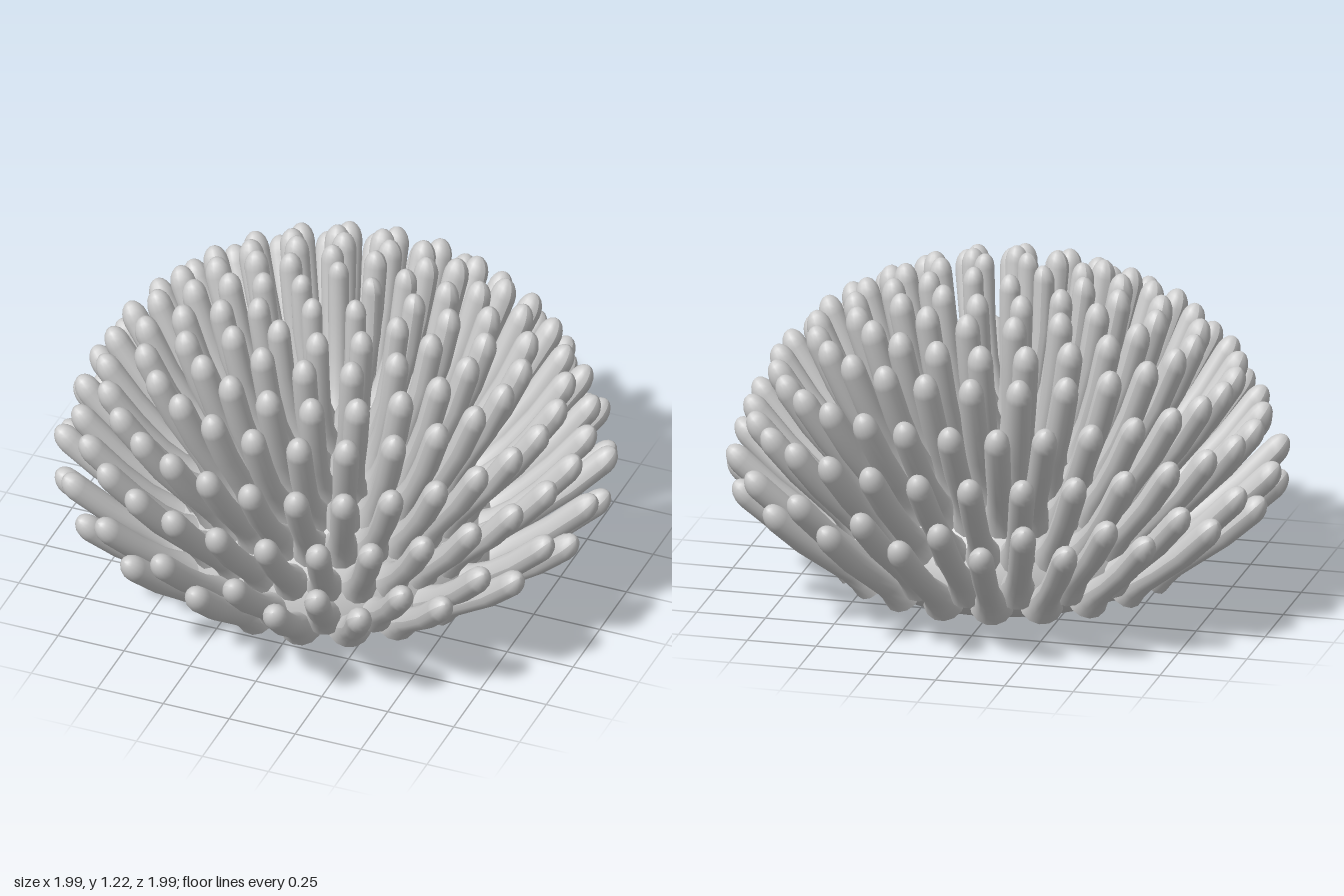
import * as THREE from 'three';
import { mergeGeometries } from 'three/addons/utils/BufferGeometryUtils.js';

const material = new THREE.MeshStandardMaterial({ color: 0xcccccc });

// Rings of tentacles: count, tip radius and height, root radius and height,
// thickness, and angular offset in steps.
const rings = [
  [5, 0.13, 1.22, 0.06, 0.64, 0.037, 0],
  [11, 0.28, 1.19, 0.16, 0.63, 0.041, 0],
  [15, 0.41, 1.155, 0.25, 0.6, 0.044, 0],
  [21, 0.55, 1.09, 0.34, 0.56, 0.046, 0],
  [25, 0.69, 1.01, 0.42, 0.51, 0.046, 0],
  [30, 0.83, 0.87, 0.49, 0.43, 0.046, 0.5],
  [30, 0.92, 0.71, 0.54, 0.31, 0.046, 0],
  [20, 0.985, 0.555, 0.56, 0.2, 0.046, 0],
  [20, 0.985, 0.475, 0.55, 0.14, 0.046, 0.5],
];

// A finger along +y: flared root, slightly swollen shaft, round tip, gentle upward bend.
function fingerGeometry(length, radius) {
  const pts = [[0, 1.75], [0.08, 1.35], [0.18, 1.05], [0.35, 0.93], [0.6, 0.98]]
    .map(([t, w]) => new THREE.Vector2(w * radius, t * length));
  const cap = radius * 1.5;
  for (let i = 0; i <= 5; i++) {
    const a = (i / 5) * Math.PI / 2;
    pts.push(new THREE.Vector2(Math.cos(a) * radius, length - cap + Math.sin(a) * cap));
  }
  const geometry = new THREE.LatheGeometry(pts, 14);
  const p = geometry.attributes.position;
  for (let i = 0; i < p.count; i++) {
    const t = p.getY(i) / length;
    p.setX(i, p.getX(i) + 0.06 * length * 4 * t * (1 - t) * 0.7);
  }
  geometry.computeVertexNormals();
  return geometry;
}

function tentacleRing([count, tipR, tipY, rootR, rootY, radius, offset]) {
  const dr = tipR - rootR, dy = tipY - rootY;
  const finger = fingerGeometry(Math.hypot(dr, dy), radius);
  finger.rotateZ(-Math.atan2(dr, dy)).translate(rootR, rootY, 0);
  const parts = [];
  for (let i = 0; i < count; i++) {
    parts.push(finger.clone().rotateY(Math.PI + ((i + offset) / count) * Math.PI * 2));
  }
  return new THREE.Mesh(mergeGeometries(parts), material);
}

export function createModel() {
  const group = new THREE.Group();

  // Rounded core: shallow bowl below, dome above
  const outline = new THREE.SplineCurve([
    [0, 0], [0.2, 0.004], [0.36, 0.03], [0.5, 0.08], [0.595, 0.15], [0.61, 0.22],
    [0.58, 0.33], [0.51, 0.45], [0.43, 0.53], [0.33, 0.59], [0.18, 0.645], [0, 0.66],
  ].map(([x, y]) => new THREE.Vector2(x, y)));
  const profile = outline.getPoints(44).map((v) => new THREE.Vector2(Math.max(v.x, 0), Math.max(v.y, 0)));
  const body = new THREE.Mesh(new THREE.LatheGeometry(profile, 80), material);
  body.name = 'body';
  group.add(body);

  // Tentacles, from the crown down to the rim
  rings.forEach((ring, i) => {
    const mesh = tentacleRing(ring);
    mesh.name = 'tentacleRing' + (i + 1);
    group.add(mesh);
  });
  return group;
}
